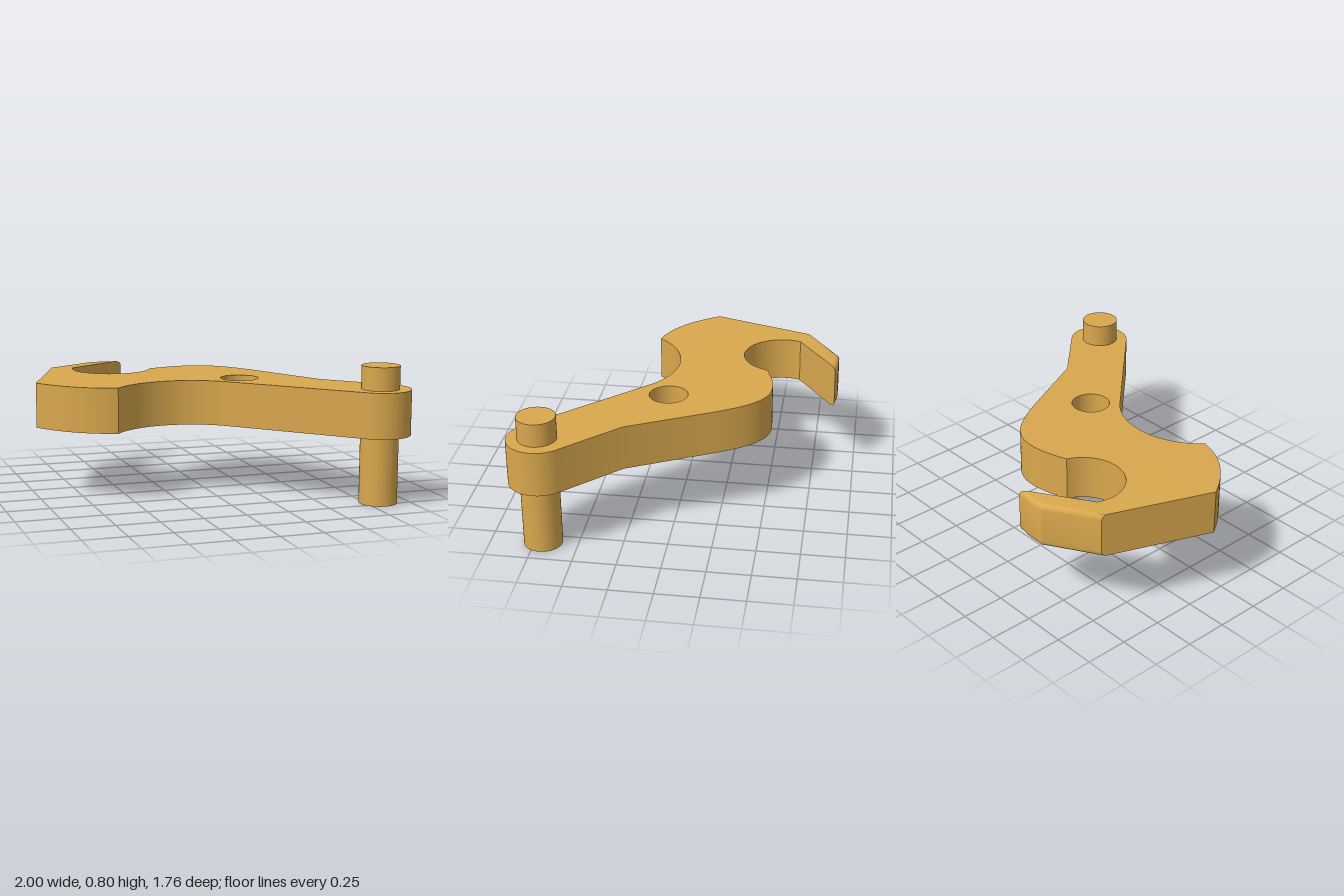
import * as THREE from 'three';
import { toCreasedNormals } from 'three/addons/utils/BufferGeometryUtils.js';

const TOP = 0.67, THICK = 0.263, FILLET = 0.03, ARC = 4;

// Plate outline in plan: shape x = model x, shape y = model z
function plateOutline() {
  const s = new THREE.Shape();
  s.moveTo(-1, -0.08);
  s.lineTo(-0.765, -0.7);
  s.lineTo(-0.48, -0.88);
  s.lineTo(-0.38, -0.88);
  s.lineTo(-0.28, -0.865);
  s.lineTo(-0.65, -0.63);
  s.absarc(-0.43, -0.54, 0.238, 3.53, 0.335, true); // hook throat
  s.bezierCurveTo(-0.11, -0.495, -0.04, -0.515, 0.04, -0.515);
  s.bezierCurveTo(0.23, -0.515, 0.31, -0.36, 0.4, -0.2);
  s.lineTo(0.635, 0.265);
  s.absarc(0.82, 0.7, 0.18, -Math.PI / 4, Math.PI * 0.75, false); // arm end
  s.absarc(-0.24, 0.523, 0.45, -0.798, -2.48, true); // front scoop
  s.quadraticCurveTo(-0.84, 0.19, -1, -0.08);
  const hole = new THREE.Path();
  hole.absarc(0.197, 0.075, 0.113, 0, Math.PI * 2, true);
  s.holes.push(hole);
  return s;
}

// Back corners of the hook, with the direction each moves per unit of fillet inset
const hookCorners = [
  [-0.765, -0.7, -0.36, 0.94],
  [-0.48, -0.88, 0.28, 1],
  [-0.38, -0.88, -0.07, 1],
  [-0.28, -0.865, -1.3, 0.83],
];

function plateGeometry() {
  const steps = 2 * ARC + 1;
  const geo = new THREE.ExtrudeGeometry(plateOutline(), {
    depth: 1, steps, bevelEnabled: false, curveSegments: 28,
  });
  // Respace the layers as quarter rounds, pulling in only the hook's back edge
  const p = geo.attributes.position;
  for (let i = 0; i < p.count; i++) {
    const layer = Math.round(p.getZ(i) * steps);
    const k = Math.min(layer, steps - layer);
    const a = (k / ARC) * Math.PI / 2;
    const inset = FILLET * (1 - Math.sin(a));
    const d = FILLET * (1 - Math.cos(a));
    const x = p.getX(i), y = p.getY(i);
    const c = hookCorners.find(([cx, cy]) => Math.hypot(x - cx, y - cy) < 1e-4);
    p.setXYZ(i, x + (c ? c[2] * inset : 0), y + (c ? c[3] * inset : 0),
      layer <= ARC ? d : THICK - d);
  }
  geo.rotateX(Math.PI / 2);
  geo.translate(0, TOP, -0.006);
  return toCreasedNormals(geo, 0.5);
}

export function createModel() {
  const model = new THREE.Group();
  model.name = 'pawlLever';
  const material = new THREE.MeshStandardMaterial({ color: 0xd9a84e });

  const lever = new THREE.Group();
  lever.name = 'lever';
  lever.rotation.x = 0.0105; // slight forward lean
  model.add(lever);

  const plate = new THREE.Mesh(plateGeometry(), material);
  plate.name = 'hookPlate';
  lever.add(plate);

  // Pin stubs above and below the arm end
  const addPin = (name, y0, y1) => {
    const pin = new THREE.Mesh(new THREE.CylinderGeometry(0.11, 0.11, y1 - y0, 48), material);
    pin.name = name;
    pin.position.set(0.82, (y0 + y1) / 2, 0.7);
    lever.add(pin);
  };
  addPin('lowerPin', 0.008, TOP - THICK + 0.01);
  addPin('upperPin', TOP - 0.01, 0.805);

  return model;
}
